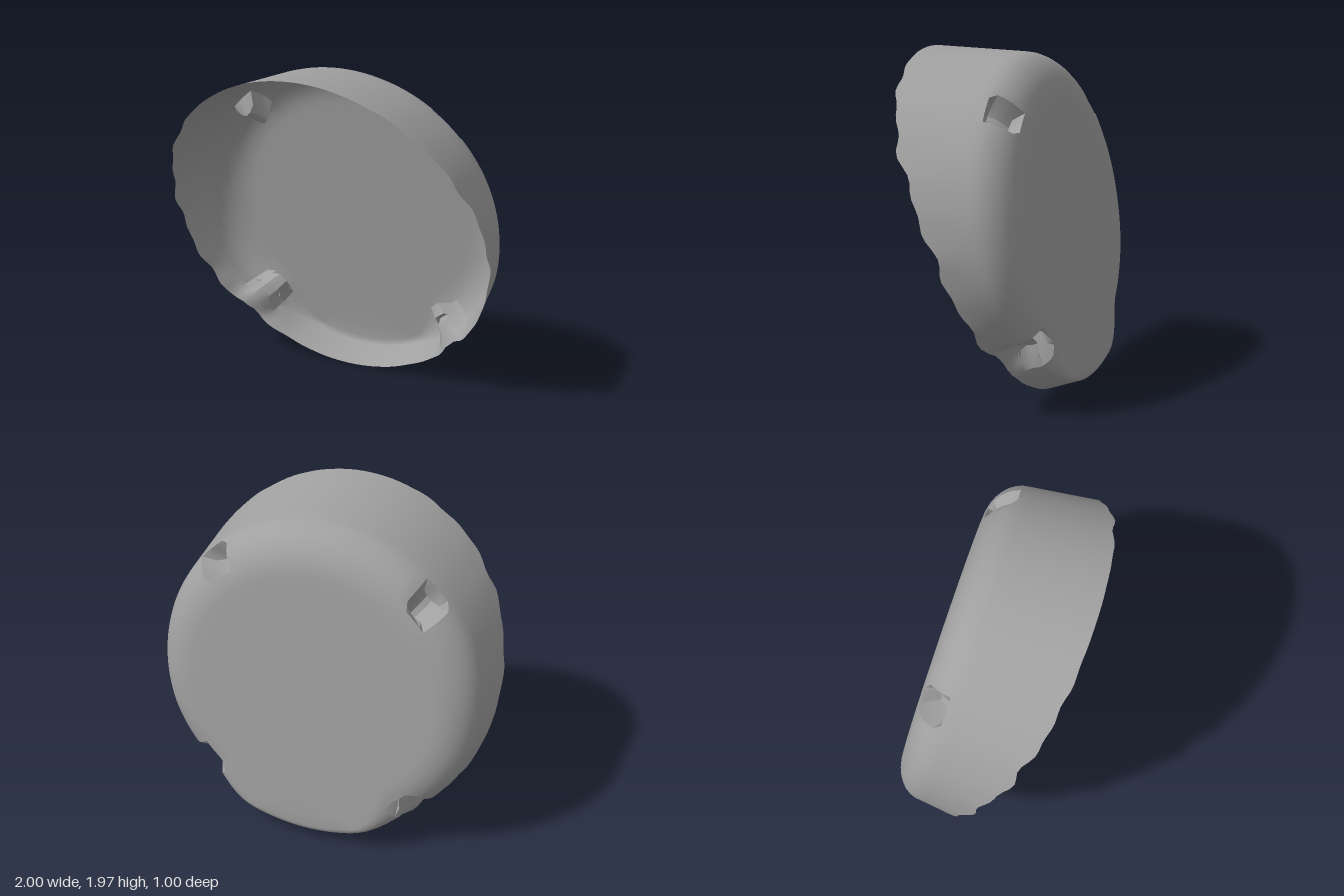
import * as THREE from 'three';
import { toCreasedNormals } from 'three/addons/utils/BufferGeometryUtils.js';

const { clamp, lerp, smoothstep } = THREE.MathUtils;
const SEGMENTS = 144, SHOULDER = 8, WALL = 8;
const CENTER_Y = 0.985;

// height and depth of the slanted open rim
const RIM = [[0, -0.3], [0.15, -0.27], [0.3, -0.2], [0.5, -0.12], [0.83, 0], [1.05, 0.09],
  [1.3, 0.21], [1.5, 0.31], [1.8, 0.44], [1.97, 0.5]];

function rimZ(y) {
  let i = 1;
  while (i < RIM.length - 1 && y > RIM[i][0]) i++;
  const [y0, z0] = RIM[i - 1], [y1, z1] = RIM[i];
  return lerp(z0, z1, clamp((y - y0) / (y1 - y0), 0, 1));
}

// leaning flat back
const backZ = y => -0.5 + 0.14 * Math.max(0, y - 0.15);

// flat-topped weight of a dent, from the angle to its middle
function dent(a, middle) {
  const d = Math.abs(Math.atan2(Math.sin(a - middle), Math.cos(a - middle)));
  return clamp(1.7 - d / 0.065, 0, 1);
}

// one cross-section, from the middle of the back, round the shoulder, to the rim
function section(a) {
  const c = Math.cos(a), s = Math.sin(a);
  const full = smoothstep(s, -0.95, -0.72);
  const base = lerp(0.935, 0.97, smoothstep(s, -1, -0.2));
  const inset = lerp(0.04, 0.24, full);
  const rise = lerp(0.03, 0.2, full) * (s < 0 ? lerp(0.75, 1, 1 + s) : 1);
  const upper = dent(a, 0.81) + dent(a, Math.PI - 0.81);
  const lower = dent(a, -0.79) + dent(a, Math.PI + 0.79);
  const heightAt = r => CENTER_Y + CENTER_Y * s * r;
  const points = [];
  const add = (r, z) => points.push(new THREE.Vector3(c * r, heightAt(r), z));

  for (const k of [0, 0.4, 0.75, 0.92]) {
    const r = k * (base - inset);
    add(r, backZ(heightAt(r)));
  }
  for (let i = 0; i <= SHOULDER; i++) {
    const t = i / SHOULDER * Math.PI / 2;
    const r = base - inset * (1 - Math.sin(t));
    const z = backZ(heightAt(r)) + rise * (1 - Math.cos(t));
    const up = upper * (i > 2 && i < 7 ? 1 : 0);
    const low = lower * (i > 2 ? 1 : 0);
    add(r - 0.09 * up - 0.1 * low, z + 0.07 * up + (i < 6 ? 0.07 * low : 0));
  }
  const zStart = backZ(heightAt(base)) + rise;
  const ragged = 0.012 * (Math.sin(a * 17) + Math.sin(a * 29 + 1)) * (1 - Math.abs(s) ** 4);
  const zEnd = rimZ(heightAt(1)) + ragged;
  for (let i = 1; i <= WALL; i++) {
    const t = i / WALL;
    add(lerp(base, 1, t) - 0.1 * lower * (1 - 0.75 * t), lerp(zStart, zEnd, t));
  }
  return points;
}

function shellGeometry() {
  const positions = [], index = [];
  let rows = 0;
  for (let j = 0; j < SEGMENTS; j++) {
    const points = section(j / SEGMENTS * Math.PI * 2);
    rows = points.length;
    points.forEach(p => positions.push(p.x, p.y, p.z));
  }
  for (let j = 0; j < SEGMENTS; j++) {
    const here = j * rows, next = ((j + 1) % SEGMENTS) * rows;
    for (let i = 0; i < rows - 1; i++) {
      if (i > 0) index.push(here + i, next + i, here + i + 1);
      index.push(next + i, next + i + 1, here + i + 1);
    }
  }
  const geometry = new THREE.BufferGeometry();
  geometry.setAttribute('position', new THREE.Float32BufferAttribute(positions, 3));
  geometry.setIndex(index);
  return toCreasedNormals(geometry, 0.6);
}

export function createModel() {
  const group = new THREE.Group();
  group.name = 'slantedDish';
  const grey = new THREE.MeshStandardMaterial({ color: 0xa0a0a0, side: THREE.DoubleSide });
  grey.name = 'grey';
  // thin open shell with four dents
  const shell = new THREE.Mesh(shellGeometry(), grey);
  shell.name = 'dishShell';
  group.add(shell);
  return group;
}
